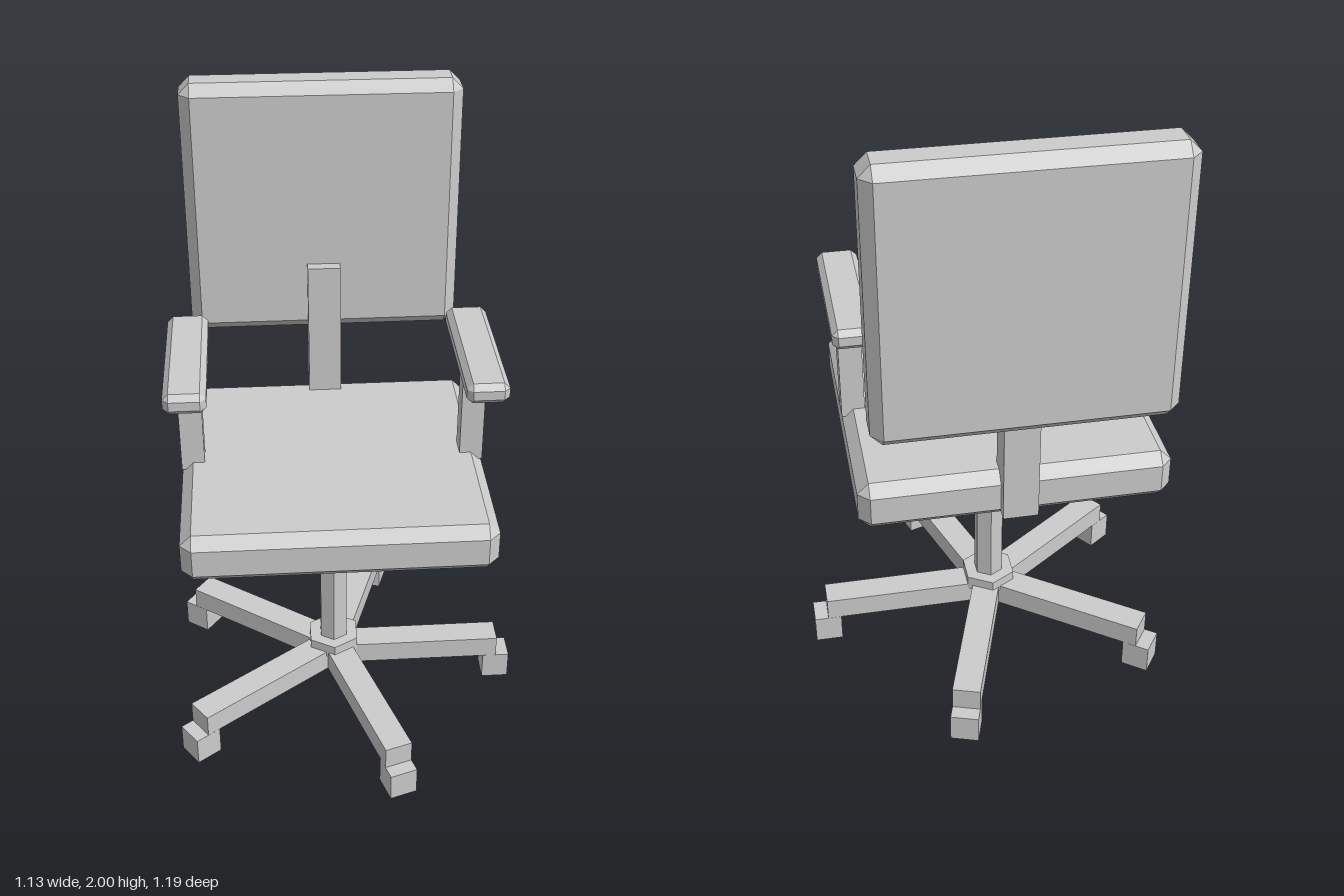
import * as THREE from 'three';
import { ConvexGeometry } from 'three/addons/geometries/ConvexGeometry.js';

const material = new THREE.MeshStandardMaterial({ color: 0xcccccc, flatShading: true });
const openMaterial = new THREE.MeshStandardMaterial({ color: 0xcccccc, flatShading: true, side: THREE.DoubleSide });

function add(parent, name, geometry, x, y, z, mat = material) {
  const mesh = new THREE.Mesh(geometry, mat);
  mesh.name = name;
  mesh.position.set(x, y, z);
  parent.add(mesh);
  return mesh;
}

// Box with every edge and corner cut by one flat bevel
function bevelBox(w, h, d, b) {
  const points = [];
  for (const sx of [-1, 1]) for (const sy of [-1, 1]) for (const sz of [-1, 1]) {
    const [x, y, z] = [w / 2, h / 2, d / 2];
    points.push(
      new THREE.Vector3(sx * x, sy * (y - b), sz * (z - b)),
      new THREE.Vector3(sx * (x - b), sy * y, sz * (z - b)),
      new THREE.Vector3(sx * (x - b), sy * (y - b), sz * z),
    );
  }
  return new ConvexGeometry(points);
}

// Box without its underside
function openBox(w, h, d) {
  const geometry = new THREE.BoxGeometry(w, h, d);
  const index = Array.from(geometry.index.array);
  index.splice(18, 6);
  geometry.setIndex(index);
  geometry.clearGroups();
  return geometry;
}

export function createModel() {
  const chair = new THREE.Group();
  chair.name = 'officeChair';

  // The chair's axis sits slightly off centre because of the five-legged base
  const body = new THREE.Group();
  body.name = 'chairBody';
  body.position.x = -0.047;
  chair.add(body);

  // Cushions
  add(body, 'seat', bevelBox(0.95, 0.16, 0.914, 0.035), 0, 0.865, 0);
  add(body, 'backrest', bevelBox(0.88, 0.84, 0.147, 0.035), 0, 1.58, -0.498);
  add(body, 'backSupport', new THREE.BoxGeometry(0.107, 0.59, 0.104), 0, 1.105, -0.439);

  // Armrests
  for (const [side, s] of [['left', 1], ['right', -1]]) {
    add(body, side + 'ArmPost', new THREE.BoxGeometry(0.073, 0.37, 0.07), s * 0.44, 1.105, 0);
    add(body, side + 'ArmPad', bevelBox(0.127, 0.065, 0.514, 0.018), s * 0.44, 1.307, 0.036);
  }

  // Hexagonal column and hub
  add(body, 'column', new THREE.CylinderGeometry(0.05, 0.05, 0.63, 6), 0, 0.475, 0);
  add(body, 'hub', new THREE.CylinderGeometry(0.092, 0.092, 0.05, 6), 0, 0.178, 0);

  // Five legs, each with a foot at its end
  for (let i = 0; i < 5; i++) {
    const arm = new THREE.Group();
    arm.name = 'baseLeg' + (i + 1);
    arm.rotation.y = (i * Math.PI * 2) / 5;
    add(arm, 'leg', new THREE.BoxGeometry(0.567, 0.075, 0.09), 0.2835, 0.133, 0);
    add(arm, 'foot', openBox(0.09, 0.095, 0.09), 0.567, 0.0475, 0, openMaterial);
    body.add(arm);
  }

  return chair;
}
